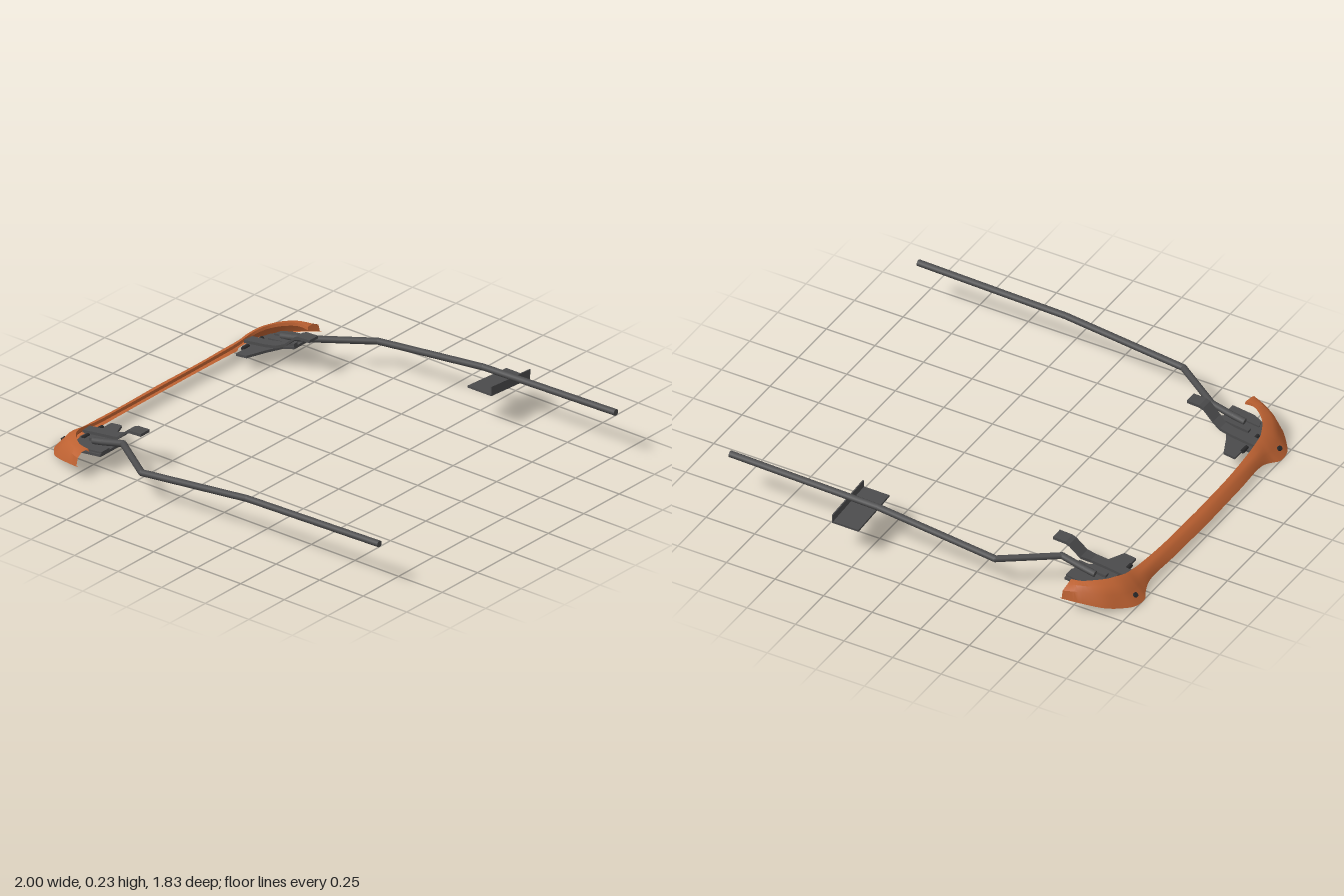
import * as THREE from 'three';
import { toCreasedNormals } from 'three/addons/utils/BufferGeometryUtils.js';

const MID = 0.05; // symmetry plane of bumper and rails, in z
const V = (x, y, z) => new THREE.Vector3(x, y, z);

// Surface through rows of equal point counts; optionally closed around with capped ends
function loft(rows, closed = false, flip = false, crease = 0.5) {
  const n = rows[0].length, pos = [], idx = [];
  const tri = (a, b, c) => (flip ? idx.push(a, c, b) : idx.push(a, b, c));
  rows.forEach(r => r.forEach(p => pos.push(p.x, p.y, p.z)));
  for (let i = 0; i < rows.length - 1; i++) {
    for (let k = 0; k < (closed ? n : n - 1); k++) {
      const a = i * n + k, b = i * n + (k + 1) % n, c = a + n, d = b + n;
      tri(a, b, c);
      tri(b, d, c);
    }
  }
  if (closed) {
    const e = (rows.length - 1) * n;
    for (let k = 1; k < n - 1; k++) { tri(0, k + 1, k); tri(e, e + k, e + k + 1); }
  }
  const g = new THREE.BufferGeometry();
  g.setAttribute('position', new THREE.Float32BufferAttribute(pos, 3));
  g.setIndex(idx);
  return toCreasedNormals(g, crease);
}

export function createModel() {
  const model = new THREE.Group();
  const orange = new THREE.MeshStandardMaterial({ color: 0xbe6232, side: THREE.DoubleSide });
  orange.name = 'orange paint';
  const steel = new THREE.MeshStandardMaterial({ color: 0x4c4c4d, side: THREE.DoubleSide });
  steel.name = 'dark steel';
  const black = new THREE.MeshStandardMaterial({ color: 0x2a2a2b });
  black.name = 'black bolts';

  const add = (name, geo, mat, parent, x = 0, y = 0, z = 0) => {
    const m = new THREE.Mesh(geo, mat);
    m.name = name;
    m.position.set(x, y, z);
    parent.add(m);
    return m;
  };

  // Bumper half: lower edge, crease and upper edge from the middle to the wing tip
  const lower = [[-.975, .03, 0], [-.97, .03, .3], [-.965, .028, .5], [-.98, .013, .56], [-1, .005, .6],
    [-.995, .006, .67], [-.955, .015, .73], [-.9, .03, .785], [-.81, .05, .83], [-.72, .065, .86]];
  const crease = [[-.952, .06, 0], [-.948, .06, .3], [-.95, .06, .5], [-.953, .05, .56], [-.956, .05, .6],
    [-.948, .06, .67], [-.925, .07, .715], [-.88, .085, .77], [-.8, .1, .815], [-.72, .103, .85]];
  const upper = [[-.915, .075, 0], [-.912, .078, .3], [-.903, .088, .5], [-.9, .097, .56], [-.897, .104, .6],
    [-.88, .115, .65], [-.86, .12, .69], [-.82, .125, .735], [-.77, .125, .77], [-.72, .12, .775]];
  const STEPS = 45;
  const [lo, cr, up] = [lower, crease, upper].map(list =>
    new THREE.CatmullRomCurve3(list.map(p => V(...p)), false, 'centripetal').getPoints(STEPS));
  const half = lo.map((p, i) => {
    const lip = 0.045 * (1 - 0.75 * i / STEPS);
    const a = cr[i], b = up[i];
    const bulge = 0.008 * Math.min(1, i / 20);
    const swell = a.clone().lerp(b, 0.5).add(V(-bulge * 0.6, bulge, bulge * 0.4));
    return [p.clone().add(V(lip, 0.002, -lip * 0.15)), p, a, swell, b, b.clone().add(V(0.003, -0.014, -0.002))];
  });
  const side = (row, s) => row.map(p => V(p.x, p.y, MID + s * p.z));
  const rows = [...half.slice(1).reverse().map(r => side(r, -1)), ...half.map(r => side(r, 1))];
  add('bumper', loft(rows, false, true, 0.6), orange, model);

  // Horizontal plate cut from an outline of [x, distance from the symmetry plane]
  const plate = (pts, s, thick) => {
    const shape = new THREE.Shape(pts.map(([x, w]) => new THREE.Vector2(x, -s * w)));
    return new THREE.ExtrudeGeometry(shape, { depth: thick, bevelEnabled: false }).rotateX(-Math.PI / 2);
  };

  for (const s of [1, -1]) {
    const label = s > 0 ? 'front' : 'back';
    const Z = w => MID + s * w;

    // Bolt through the bumper lip
    const bolt = add(label + 'LipBolt', new THREE.CylinderGeometry(.012, .012, .02, 12), black, model, -.97, .036, Z(.64));
    bolt.rotation.z = 0.8;

    // Mounting bracket, tilted slightly up toward the rails
    const bracket = new THREE.Group();
    bracket.name = label + 'Bracket';
    bracket.position.set(-.78, .072, MID);
    bracket.rotation.z = 0.12;
    model.add(bracket);
    add('basePlate', plate([[-.11, .52], [-.08, .52], [-.08, .44], [-.02, .44], [.02, .53], [.06, .6], [.11, .62],
      [.11, .75], [0, .75], [-.05, .73], [-.085, .69], [-.11, .62]], s, .012), steel, bracket);
    add('upperPlate', plate([[-.04, .62], [.11, .62], [.11, .645], [-.04, .645]], s, .026), steel, bracket);
    add('outerPlate', plate([[-.06, .685], [.11, .685], [.11, .74], [0, .74], [-.05, .72]], s, .02), steel, bracket);
    for (const w of [.515, .615]) {
      const pin = add('bracketBolt', new THREE.CylinderGeometry(.01, .01, .04, 10), black, bracket, -.085, .012, s * w);
      pin.rotation.x = Math.PI / 2;
    }

    // Stepped strap rising from the bracket
    const strap = [[-.9, .082, .57], [-.78, .098, .57], [-.72, .108, .575], [-.68, .125, .59], [-.625, .175, .595], [-.605, .183, .595], [-.54, .186, .595]];
    const strapRows = strap.map(([x, y, w]) => {
      const h = x > -.7 ? .031 : .026, t = .007;
      return [V(x, y - t, Z(w - h)), V(x, y + t, Z(w - h)), V(x, y + t, Z(w + h)), V(x, y - t, Z(w + h))];
    });
    add(label + 'Strap', loft(strapRows, true, s > 0, 0.1), steel, model);

    // Bent rail made of straight bars with rounded joints
    const rail = new THREE.Group();
    rail.name = label + 'Rail';
    model.add(rail);
    const R = .016;
    const path = [[-.78, .1, .665], [-.72, .112, .665], [-.61, .139, .665], [-.365, .139, .835], [.24, .203, .835], [1, .219, .835]]
      .map(([x, y, w]) => V(x, y, Z(w)));
    path.slice(1).forEach((b, i) => {
      const a = path[i], d = b.clone().sub(a);
      const bar = add('railBar', new THREE.CylinderGeometry(R, R, d.length(), 10), steel, rail);
      bar.position.copy(a).addScaledVector(d, 0.5);
      bar.quaternion.setFromUnitVectors(V(0, 1, 0), d.normalize());
      if (i > 0) add('railJoint', new THREE.SphereGeometry(R, 10, 8), steel, rail, a.x, a.y, a.z);
    });
  }

  // Angle-section step hung under the back rail
  const step = new THREE.Group();
  step.name = 'railStep';
  step.position.set(.33, .158, -.782);
  step.rotation.x = -0.073;
  add('stepPlate', new THREE.BoxGeometry(.136, .01, .275), steel, step);
  add('stepFlange', new THREE.BoxGeometry(.006, .045, .275), steel, step, .065, .018, 0);
  model.add(step);

  return model;
}
